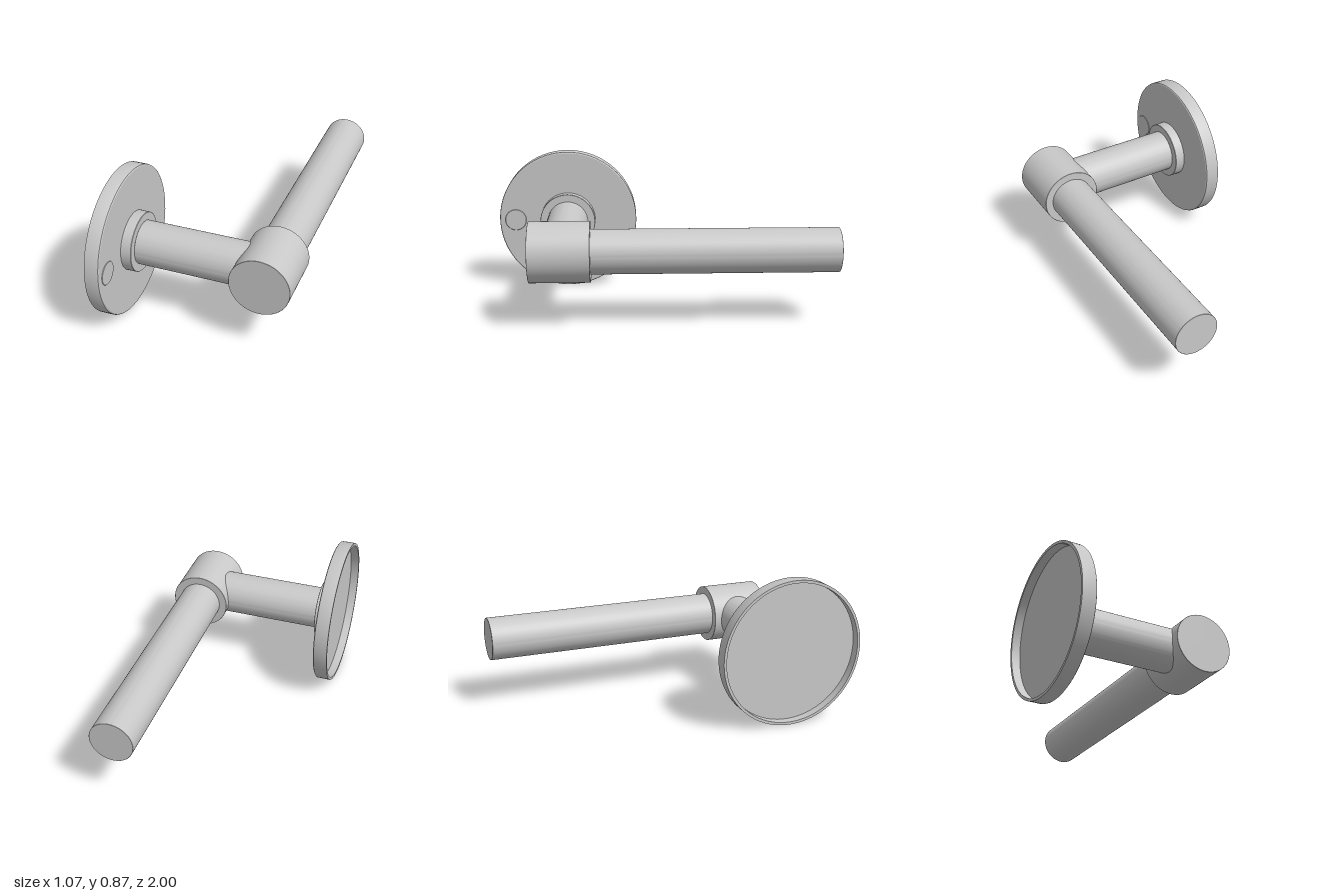
import * as THREE from 'three';
import { toCreasedNormals } from 'three/addons/utils/BufferGeometryUtils.js';

const CY = 0.437; // height of every axis
const CZ = 0.567; // depth of the rosette and neck axis
const HX = 0.358; // x of the grip axis

export function createModel() {
  const group = new THREE.Group();
  group.name = 'doorLever';
  const metal = new THREE.MeshStandardMaterial({ color: 0xc8c8c8 });
  metal.name = 'satin metal';

  // Turned part: profile of [radius, distance along the axis]
  const turned = (name, profile, segments = 96) => {
    const points = profile.map(([r, d]) => new THREE.Vector2(r, d));
    const geometry = toCreasedNormals(new THREE.LatheGeometry(points, segments), 0.4);
    const mesh = new THREE.Mesh(geometry, metal);
    mesh.name = name;
    group.add(mesh);
    return mesh;
  };
  const alongX = (mesh, x, z = CZ) => {
    mesh.rotation.z = -Math.PI / 2;
    mesh.position.set(x, CY, z);
  };
  const alongZ = (mesh, z) => {
    mesh.rotation.x = Math.PI / 2;
    mesh.position.set(HX, CY, z);
  };
  // Solid bar with a small bevel at both ends
  const bar = (r, length, bevel = 0.003) => [
    [0, 0], [r - bevel, 0], [r, bevel], [r, length - bevel], [r - bevel, length], [0, length],
  ];

  // Round wall plate, hollow at the back with a softened front edge
  alongX(turned('rosette', [
    [0, 0.05], [0.418, 0.05], [0.418, 0], [0.4345, 0],
    [0.4345, 0.075], [0.4325, 0.081], [0.4265, 0.085], [0, 0.085],
  ]), -0.534);

  // Small screw cover on the plate
  alongX(turned('screwCover', bar(0.067, 0.008, 0.002), 48), -0.454, 0.9);

  // Collar and neck
  alongX(turned('collar', bar(0.173, 0.064, 0.002)), -0.452);
  alongX(turned('neck', bar(0.127, 0.66)), -0.39);

  // Elbow barrel and grip
  alongZ(turned('elbow', bar(0.173, 0.345, 0.001)), 0.399);
  alongZ(turned('grip', bar(0.127, 1.42, 0.001)), -1);

  return group;
}
